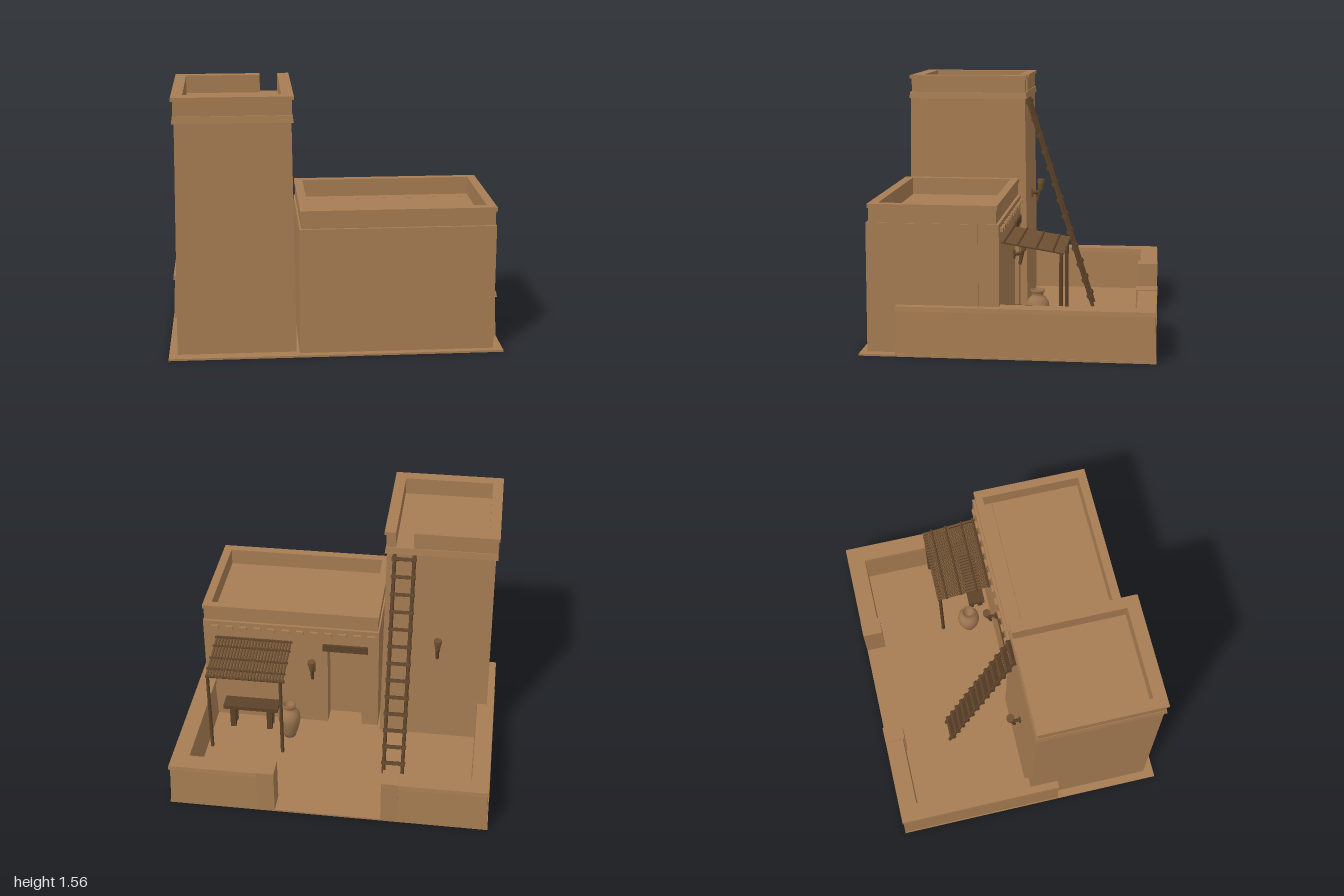
import * as THREE from 'three';

const mat = (name, color) => {
  const m = new THREE.MeshStandardMaterial({ color });
  m.name = name;
  return m;
};

export function createModel() {
  const model = new THREE.Group();
  const adobe = mat('adobe', 0xa67c52);
  const wood = mat('darkWood', 0x5c4229);
  const poles = mat('poleWood', 0x6e5032);
  const clay = mat('clay', 0x9c7550);

  const add = (name, geo, material, parent = model) => {
    const m = new THREE.Mesh(geo, material);
    m.name = name;
    parent.add(m);
    return m;
  };
  const group = (name) => {
    const g = new THREE.Group();
    g.name = name;
    model.add(g);
    return g;
  };
  // Box given by its limits; the top can be drawn in by "inset" on each side
  const block = (name, [x0, x1], [y0, y1], [z0, z1], material, parent, inset = 0) => {
    const w = x1 - x0, d = z1 - z0;
    const geo = new THREE.BoxGeometry(w, y1 - y0, d);
    const p = geo.attributes.position;
    for (let i = 0; i < p.count; i++) {
      if (p.getY(i) > 0) {
        p.setX(i, p.getX(i) * (1 - 2 * inset / w));
        p.setZ(i, p.getZ(i) * (1 - 2 * inset / d));
      }
    }
    geo.computeVertexNormals();
    geo.translate((x0 + x1) / 2, (y0 + y1) / 2, (z0 + z1) / 2);
    return add(name, geo, material, parent);
  };
  // Floor-plan outline (x, z) raised from y0 to y1
  const plan = (name, pts, hole, y0, y1, parent) => {
    const v = (a) => a.map(([x, z]) => new THREE.Vector2(x, z));
    const s = new THREE.Shape(v(pts));
    if (hole) s.holes.push(new THREE.Path(v(hole)));
    const geo = new THREE.ExtrudeGeometry(s, { depth: y1 - y0, bevelEnabled: false });
    geo.rotateX(Math.PI / 2).translate(0, y1, 0);
    return add(name, geo, adobe, parent);
  };
  const rect = (x0, x1, z0, z1) => [[x0, z0], [x1, z0], [x1, z1], [x0, z1]];
  // Round pole between two points
  const pole = (name, a, b, r0, r1, material, parent, sides = 8) => {
    const A = new THREE.Vector3(...a), B = new THREE.Vector3(...b);
    const dir = B.clone().sub(A);
    const m = add(name, new THREE.CylinderGeometry(r1, r0, dir.length(), sides), material, parent);
    m.position.copy(A).add(B).multiplyScalar(0.5);
    m.quaternion.setFromUnitVectors(new THREE.Vector3(0, 1, 0), dir.normalize());
    return m;
  };

  block('ground', [-1, 1], [0, 0.012], [-0.865, 0.865], adobe);

  // Tower with cornice and a notched parapet
  const tower = group('tower');
  block('towerBody', [-0.95, -0.24], [0.01, 1.41], [0, 0.8], adobe, tower, 0.02);
  block('towerCornice', [-0.945, -0.247], [1.41, 1.452], [0.008, 0.79], adobe, tower, 0.006);
  const notched = (e) => [
    [-0.936 - e, 0.02 - e], [-0.425, 0.02 - e], [-0.425, 0.07], [-0.88, 0.07], [-0.88, 0.705],
    [-0.315, 0.705], [-0.315, 0.02 - e], [-0.256 + e, 0.02 - e], [-0.256 + e, 0.774 + e], [-0.936 - e, 0.774 + e]];
  plan('towerParapet', notched(0), null, 1.45, 1.54, tower);
  plan('towerParapetCap', notched(0.011), null, 1.54, 1.562, tower);

  // House with recessed doorway
  const house = group('house');
  block('houseBody', [-0.222, 0.945], [0.01, 0.78], [0.165, 0.825], adobe, house, 0.002);
  const wall = new THREE.Shape([[-0.222, 0.01], [-0.11, 0.01], [-0.11, 0.61], [0.118, 0.61],
    [0.118, 0.01], [0.945, 0.01], [0.943, 0.78], [-0.22, 0.78]].map((p) => new THREE.Vector2(...p)));
  const wallGeo = new THREE.ExtrudeGeometry(wall, { depth: 0.12, bevelEnabled: false });
  add('doorWall', wallGeo.translate(0, 0, 0.045), adobe, house);
  const inner = rect(-0.165, 0.89, 0.105, 0.757);
  plan('houseParapet', rect(-0.21, 0.938, 0.062, 0.807), inner, 0.78, 0.865, house);
  plan('houseParapetCap', rect(-0.216, 0.945, 0.055, 0.814), inner, 0.865, 0.89, house);
  block('doorLintel', [-0.15, 0.15], [0.61, 0.66], [0.03, 0.1], wood, house);
  for (let i = 0; i < 12; i++) {
    const x = -0.17 + i * 0.094;
    block('roofBeamEnd', [x - 0.024, x + 0.024], [0.728, 0.752], [0.028, 0.05], adobe, house);
  }

  // Courtyard wall with caps and gate posts
  const yard = group('courtyardWall');
  const runs = [
    [[-0.995, -0.88], [-0.865, 0.19]], [[0.88, 0.995], [-0.865, 0.65]],
    [[-0.995, -0.4], [-0.865, -0.745]], [[0.4, 0.995], [-0.865, -0.745]]];
  for (const [x, z] of runs) {
    block('yardWall', x, [0.01, 0.272], z, adobe, yard, 0.01);
    block('yardWallCap', x, [0.27, 0.298], z, adobe, yard, 0.003);
  }
  for (const x of [[-0.44, -0.335], [0.33, 0.44]]) {
    block('gatePost', x, [0.01, 0.304], [-0.865, -0.735], adobe, yard);
  }

  // Ladder leaning on the tower
  const ladder = group('ladder');
  const foot = [0.012, -0.435], head = [1.41, 0.008];
  for (const x of [-0.432, -0.31]) {
    pole('ladderRail', [x, ...foot], [x, ...head], 0.012, 0.012, wood, ladder);
  }
  for (let i = 0; i < 13; i++) {
    const t = 0.05 + i * 0.0775;
    const rung = add('ladderRung', new THREE.BoxGeometry(0.155, 0.022, 0.036), wood, ladder);
    rung.position.set(-0.371, foot[0] + t * (head[0] - foot[0]), foot[1] + t * (head[1] - foot[1]));
    rung.rotation.x = 0.6;
  }

  // Wall torches: bracket, leaning handle and cup
  for (const [x, y, z] of [[-0.605, 0.67, 0.012], [0.215, 0.4, 0.045]]) {
    const torch = group('torch');
    block('torchPlate', [x - 0.014, x + 0.014], [y + 0.035, y + 0.09], [z - 0.012, z + 0.004], wood, torch);
    pole('torchBracket', [x, y + 0.06, z], [x, y + 0.075, z - 0.06], 0.01, 0.012, wood, torch);
    pole('torchHandle', [x, y, z - 0.042], [x, y + 0.1, z - 0.064], 0.01, 0.013, wood, torch);
    pole('torchCup', [x, y + 0.088, z - 0.065], [x, y + 0.135, z - 0.068], 0.016, 0.023, poles, torch, 10);
    pole('torchRim', [x, y + 0.133, z - 0.068], [x, y + 0.16, z - 0.069], 0.026, 0.026, poles, torch, 10);
  }

  // Awning of thin poles on two posts
  const awning = group('awning');
  const roofY = (z) => 0.663 + (z - 0.035) * 0.165;
  for (let i = 0; i < 25; i++) {
    const x = 0.362 + i * 0.0203;
    pole('awningSlat', [x, roofY(-0.325), -0.325], [x, roofY(0.04), 0.04], 0.0085, 0.0085, poles, awning, 6);
  }
  for (const z of [-0.262, -0.165, -0.058, 0.022]) {
    pole('awningBatten', [0.348, roofY(z) + 0.008, z], [0.862, roofY(z) + 0.008, z], 0.007, 0.007, wood, awning, 6);
  }
  pole('awningBeam', [0.348, 0.594, -0.307], [0.862, 0.594, -0.307], 0.01, 0.01, wood, awning);
  for (const x of [0.375, 0.848]) {
    pole('awningPost', [x, 0.01, -0.307], [x, 0.605, -0.307], 0.012, 0.011, wood, awning);
  }

  // Bench beneath the awning
  const bench = group('bench');
  block('benchSeat', [0.44, 0.81], [0.165, 0.192], [-0.1, 0.01], wood, bench);
  for (const x of [0.5, 0.75]) {
    for (const z of [-0.075, -0.015]) {
      block('benchLeg', [x - 0.018, x + 0.018], [0.01, 0.166], [z - 0.016, z + 0.016], wood, bench);
    }
    block('benchBrace', [x - 0.01, x + 0.01], [0.13, 0.166], [-0.09, 0], wood, bench);
  }

  // Storage jar
  const profile = [[0, 0], [0.04, 0], [0.052, 0.04], [0.066, 0.09], [0.074, 0.14], [0.07, 0.18],
    [0.052, 0.21], [0.036, 0.222], [0.036, 0.24], [0.046, 0.25], [0.046, 0.26], [0.034, 0.26], [0.03, 0.21], [0, 0.2]];
  const jar = add('jar', new THREE.LatheGeometry(profile.map((p) => new THREE.Vector2(...p)), 18), clay);
  jar.position.set(0.355, 0.012, -0.125);

  return model;
}
